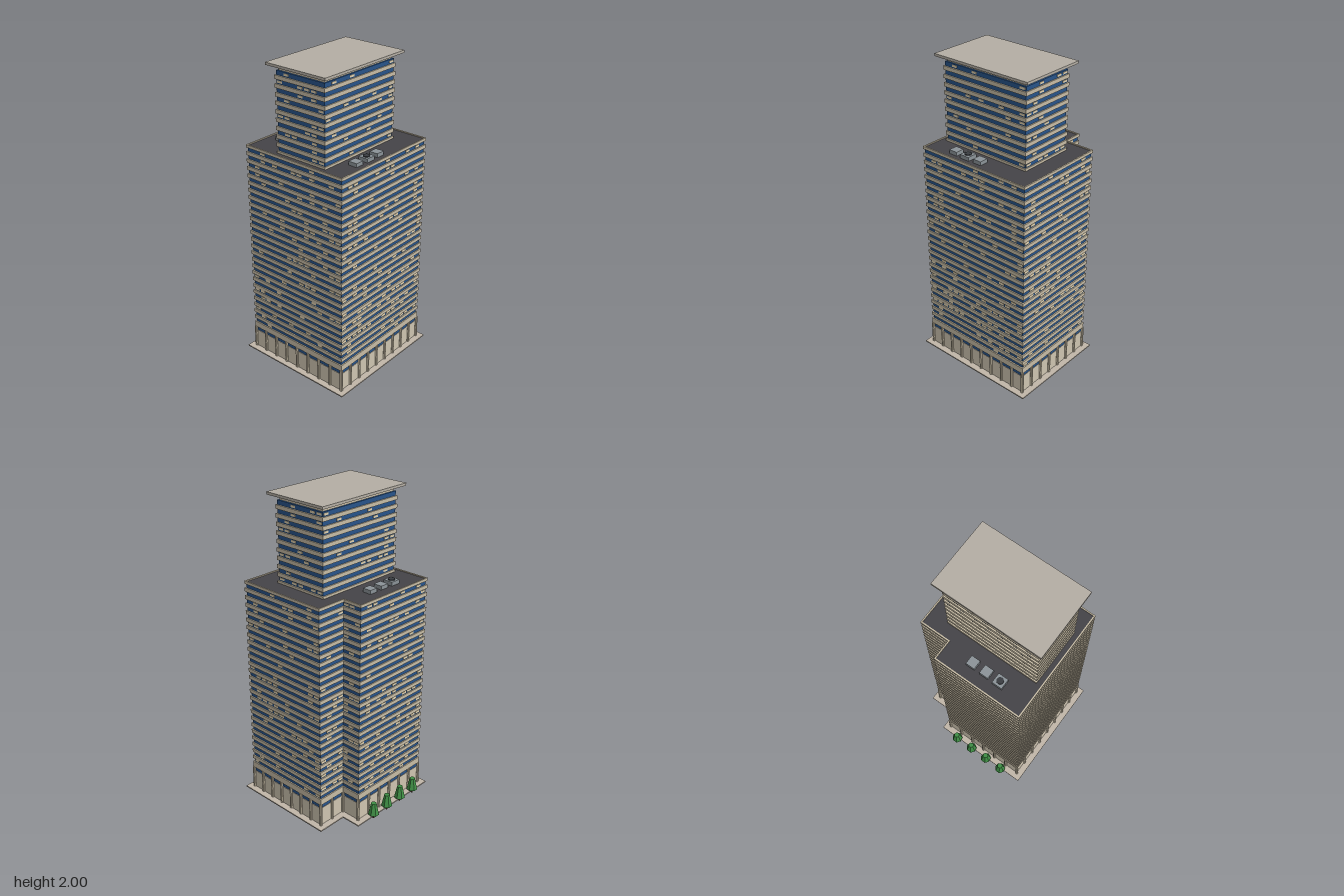
import * as THREE from 'three';
import { mergeGeometries } from 'three/addons/utils/BufferGeometryUtils.js';

const mat = (color) => new THREE.MeshStandardMaterial({ color, flatShading: true });
const M = {
  concrete: mat(0xc8bda6), wall: mat(0xd0c6b2), paving: mat(0xc2b8aa), canopy: mat(0xb5afa5),
  glass: mat(0x28548a), lit: mat(0xe0d1b0), roof: mat(0x454448), metal: mat(0x8c9499),
  fan: mat(0x3a3d42), leaf: mat(0x3f8f45), trunk: mat(0x5a4230),
};

// Footprint as [x, z] corners, shrunk by d; an optional notch cuts the back right corner
function outline({ x0, x1, z0, z1, notch }, d = 0) {
  const [a, b, c, e] = [x0 + d, x1 - d, z0 + d, z1 - d];
  if (!notch) return [[a, e], [b, e], [b, c], [a, c]];
  const [nx, nz] = [notch[0] - d, notch[1] + d];
  return [[a, e], [b, e], [b, nz], [nx, nz], [nx, c], [a, c]];
}

// Vertical prism over a footprint, with an optional hole
function prism(points, y0, y1, hole) {
  const toV = (p) => new THREE.Vector2(p[0], -p[1]);
  const shape = new THREE.Shape(points.map(toV));
  if (hole) shape.holes.push(new THREE.Path(hole.map(toV)));
  return new THREE.ExtrudeGeometry(shape, { depth: y1 - y0, bevelEnabled: false })
    .rotateX(-Math.PI / 2).translate(0, y0, 0);
}

// Split every facade into equal bays and visit each bay
function eachBay(points, pitch, visit) {
  points.forEach((p, i) => {
    const q = points[(i + 1) % points.length];
    const len = Math.hypot(q[0] - p[0], q[1] - p[1]);
    const n = Math.max(1, Math.round(len / pitch));
    const dir = [(q[0] - p[0]) / len, (q[1] - p[1]) / len];
    const angle = Math.atan2(-dir[1], dir[0]);
    for (let k = 0; k < n; k++) {
      const at = (s) => [p[0] + dir[0] * len * s, p[1] + dir[1] * len * s];
      visit({ start: at(k / n), mid: at((k + 0.5) / n), width: len / n, angle, side: i });
    }
  });
}

const box = (w, h, d, x, y, z, angle = 0) =>
  new THREE.BoxGeometry(w, h, d).rotateY(angle).translate(x, y, z);

let seed = 7;
function rand() {
  seed = (seed * 16807) % 2147483647;
  return seed / 2147483647;
}

// Lit windows: every floor and facade has its own share of lit bays
function litWindows(points, firstY, step, floors) {
  const parts = [];
  for (let f = 0; f < floors; f++) {
    const share = points.map(() => 0.06 + 0.32 * rand());
    eachBay(points, 0.049, (b) => {
      if (rand() < share[b.side])
        parts.push(box(0.037, 0.013, 0.005, b.mid[0], firstY + f * step, b.mid[1], b.angle));
    });
  }
  return mergeGeometries(parts);
}

export function createModel() {
  const model = new THREE.Group();
  model.name = 'officeTower';
  const building = new THREE.Group();
  building.name = 'building';
  building.rotation.y = Math.PI / 4;
  model.add(building);
  const add = (name, geometry, material, parent = building) => {
    const mesh = new THREE.Mesh(geometry, material);
    mesh.name = name;
    parent.add(mesh);
    return mesh;
  };

  const main = { x0: -0.363, x1: 0.425, z0: -0.408, z1: 0.343, notch: [0.228, -0.278] };
  const upper = { x0: -0.324, x1: 0.3, z0: -0.188, z1: 0.188 };
  const inset = 0.008;

  // Pavement around the glass core
  add('pavement', prism(outline(main, -0.037), 0, 0.008, outline(main, inset)), M.paving);
  add('glassCore', prism(outline(main, inset), 0, 1.445), M.glass);

  // Ground floor: wall panels between round columns
  const panels = [], columns = [];
  eachBay(outline(main, inset), 0.09, (b) =>
    panels.push(box(b.width * 0.9, 0.122, 0.006, b.mid[0], 0.069, b.mid[1], b.angle)));
  eachBay(outline(main, 0.004), 0.09, (b) =>
    columns.push(new THREE.CylinderGeometry(0.01, 0.01, 0.152, 8).translate(b.start[0], 0.084, b.start[1])));
  add('groundFloorPanels', mergeGeometries(panels), M.wall);
  add('columns', mergeGeometries(columns), M.concrete);

  // Main block: floor bands and lit windows
  const floors = 26, step = 0.04864, firstY = 0.212;
  const bands = [prism(outline(main), 0.158, firstY - 0.0125)];
  for (let f = 1; f < floors; f++) {
    const y = firstY + (f - 0.5) * step;
    bands.push(prism(outline(main), y - 0.0118, y + 0.0118));
  }
  add('floorBands', mergeGeometries(bands), M.concrete);
  add('litWindows', litWindows(outline(main, inset), firstY, step, floors), M.lit);

  // Main roof with its parapet
  add('parapet', prism(outline(main), 1.441, 1.459, outline(main, 0.009)), M.concrete);
  add('mainRoof', prism(outline(main, 0.009), 1.443, 1.453), M.roof);

  // Upper block
  const upStep = 0.0509, upFirst = 1.481, upBands = [];
  add('upperGlass', prism(outline(upper, inset), 1.45, 1.953), M.glass);
  for (let f = 0; f < 10; f++) {
    const y = upFirst + (f - 0.5) * upStep;
    upBands.push(prism(outline(upper), y - 0.012, y + 0.012));
  }
  add('upperFloorBands', mergeGeometries(upBands), M.concrete);
  add('upperLitWindows', litWindows(outline(upper, inset), upFirst, upStep, 10), M.lit);
  add('roofNeck', prism(outline(upper, 0.018), 1.953, 1.984), M.concrete);
  add('roofCanopy', prism(outline(upper, -0.034), 1.984, 2), M.canopy);

  // Rooftop units, one of each row carrying a fan
  [[-0.3, 0], [0.271, 1]].forEach(([z, fanIndex]) => {
    for (let i = 0; i < 3; i++) {
      const x = -0.156 + i * 0.094, size = i === fanIndex ? 0.066 : 0.058;
      add('roofUnit', box(size, 0.024, size, x, 1.465, z), M.metal);
      if (i === fanIndex)
        add('roofFan', new THREE.CylinderGeometry(0.021, 0.021, 0.006, 16).translate(x, 1.479, z), M.fan);
    }
  });

  // Row of trees along the back
  for (let i = 0; i < 4; i++) {
    const tree = new THREE.Group();
    tree.name = 'tree';
    tree.position.set(-0.247 + i * 0.126, 0, -0.451);
    add('trunk', new THREE.CylinderGeometry(0.006, 0.007, 0.04, 6).translate(0, 0.02, 0), M.trunk, tree);
    add('foliage', new THREE.CylinderGeometry(0.018, 0.036, 0.08, 7).translate(0, 0.07, 0), M.leaf, tree);
    building.add(tree);
  }
  return model;
}
